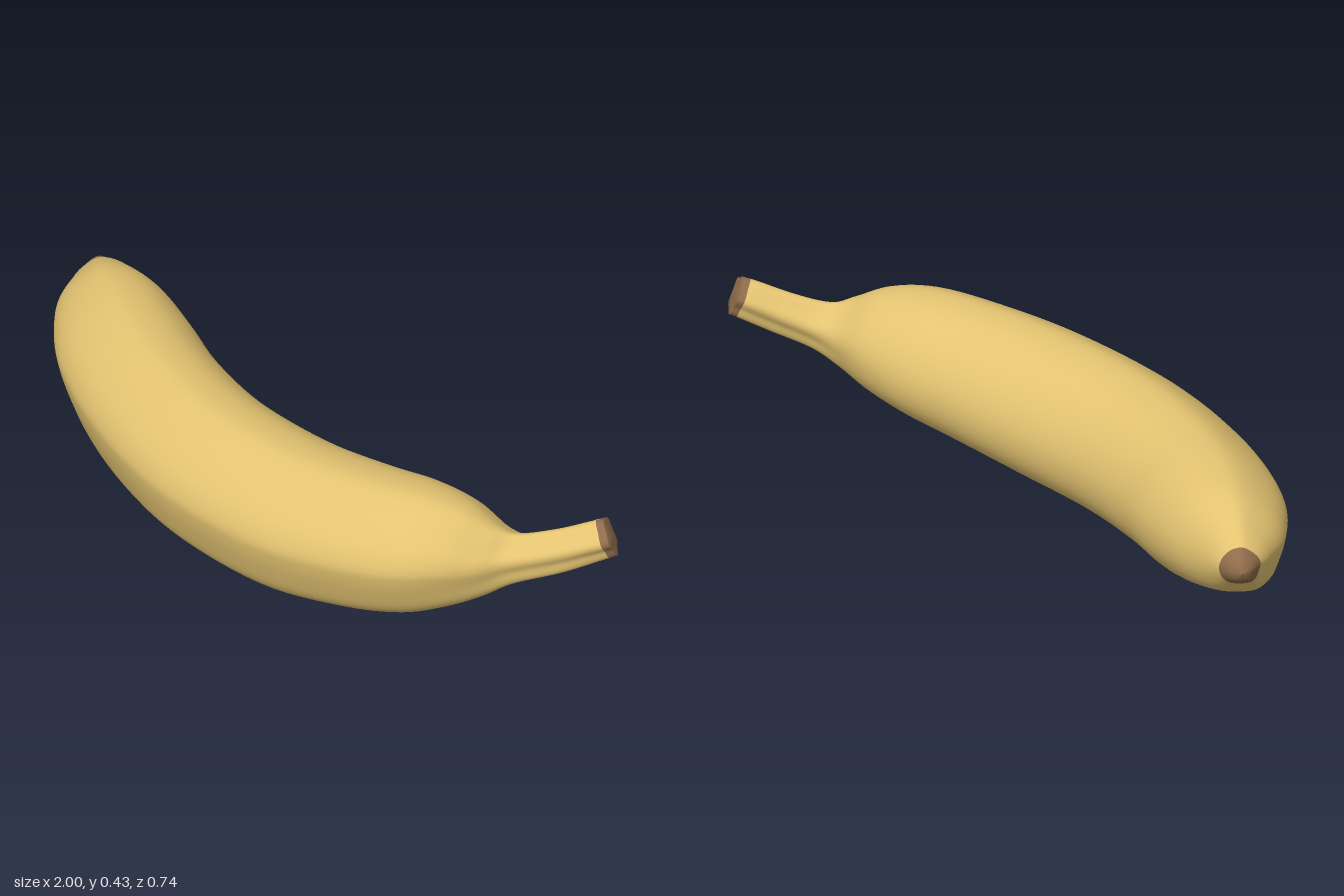
import * as THREE from 'three';

// Stations from blossom tip to stem: inner x, z, outer x, z, top y, bottom y, lean, ridges
const STATIONS = [
  [-0.997, -0.137, -0.999, -0.135, 0.256, 0.254, 0, 0],
  [-0.967, -0.152, -1.0, -0.105, 0.285, 0.226, 0, 0],
  [-0.92, -0.155, -0.983, -0.06, 0.31, 0.198, 0, 0],
  [-0.83, -0.155, -0.957, 0.0, 0.354, 0.138, 0, 0],
  [-0.7, -0.156, -0.892, 0.103, 0.396, 0.087, 0, 0],
  [-0.56, -0.13, -0.73, 0.225, 0.413, 0.04, 0, 0],
  [-0.38, -0.083, -0.47, 0.32, 0.413, 0.013, 0, 0],
  [-0.15, -0.06, -0.15, 0.368, 0.41, 0.001, 0, 0],
  [0.1, -0.085, 0.2, 0.34, 0.412, 0.008, 0, 0],
  [0.3, -0.13, 0.46, 0.255, 0.421, 0.041, 0, 0],
  [0.45, -0.175, 0.62, 0.17, 0.425, 0.076, 0, 0],
  [0.58, -0.2, 0.705, 0.085, 0.405, 0.116, 0, 0.15],
  [0.69, -0.202, 0.758, 0.0, 0.36, 0.156, 0, 0.45],
  [0.76, -0.225, 0.798, -0.08, 0.34, 0.2, 0.01, 0.85],
  [0.83, -0.285, 0.89, -0.182, 0.362, 0.245, 0.02, 1],
  [0.88, -0.345, 0.967, -0.262, 0.394, 0.288, 0.02, 1],
  [0.905, -0.37, 0.997, -0.298, 0.406, 0.305, 0.02, 1],
];

// Rounded five-sided cross-section: u points to the outer curve, v points up
const SECTION = new THREE.CatmullRomCurve3([
  [1, 0.12], [0.98, -0.1], [0.9, -0.4], [0.76, -0.75], [0.55, -0.94], [0.22, -1],
  [-0.25, -0.98], [-0.65, -0.82], [-0.92, -0.47], [-1, -0.08], [-0.93, 0.28], [-0.71, 0.65],
  [-0.38, 0.91], [0, 1], [0.24, 0.96], [0.6, 0.72], [0.88, 0.42],
].map(([u, v]) => new THREE.Vector3(u, v, 0)), true);

const SIDES = 60;
const STEPS = 6;

// Smooth interpolation of the station values
function stationAt(i, t) {
  const at = (k) => STATIONS[Math.min(Math.max(k, 0), STATIONS.length - 1)];
  const [a, b, c, d] = [at(i - 1), at(i), at(i + 1), at(i + 2)];
  return b.map((_, k) => 0.5 * (2 * b[k] + (c[k] - a[k]) * t
    + (2 * a[k] - 5 * b[k] + 4 * c[k] - d[k]) * t * t
    + (3 * b[k] - a[k] - 3 * c[k] + d[k]) * t * t * t));
}

function ring([xi, zi, xo, zo, top, bottom, lean, ridges]) {
  const dx = xo - xi, dz = zo - zi, len = Math.hypot(dx, dz);
  const points = [];
  for (let j = 0; j < SIDES; j++) {
    const p = SECTION.getPoint(j / SIDES);
    // Blend towards a five-ridged star along the stem
    const angle = Math.atan2(p.y, p.x);
    const radius = 0.94 + 0.09 * Math.cos(5 * (angle - Math.PI / 2));
    const u = THREE.MathUtils.lerp(p.x, radius * Math.cos(angle), ridges);
    const v = THREE.MathUtils.lerp(p.y, radius * Math.sin(angle), ridges);
    points.push(
      (xi + xo + u * dx) / 2 - (v * lean * dz) / len,
      (top + bottom + v * (top - bottom)) / 2,
      (zi + zo + u * dz) / 2 + (v * lean * dx) / len,
    );
  }
  return points;
}

function createPeel(materials) {
  const positions = [], index = [];
  const rows = (STATIONS.length - 1) * STEPS;
  for (let r = 0; r <= rows; r++) {
    const i = Math.min(Math.floor(r / STEPS), STATIONS.length - 2);
    positions.push(...ring(stationAt(i, r / STEPS - i)));
  }
  for (let r = 0; r < rows; r++) {
    for (let j = 0; j < SIDES; j++) {
      const a = r * SIDES + j, b = r * SIDES + ((j + 1) % SIDES);
      index.push(a, b, a + SIDES, b, b + SIDES, a + SIDES);
    }
  }
  // Slightly domed stem end
  const [xi, zi, xo, zo, top, bottom] = STATIONS[STATIONS.length - 1];
  const centre = positions.length / 3, rim = rows * SIDES;
  positions.push((xi + xo) / 2 + 0.006, (top + bottom) / 2 + 0.002, (zi + zo) / 2 - 0.006);
  for (let j = 0; j < SIDES; j++) index.push(centre, rim + j, rim + ((j + 1) % SIDES));

  const geometry = new THREE.BufferGeometry();
  geometry.setAttribute('position', new THREE.Float32BufferAttribute(positions, 3));
  geometry.setIndex(index);
  geometry.computeVertexNormals();
  // Brown blossom tip, yellow peel, brown stem end
  const tipEnd = 2 * STEPS * SIDES * 6, stemStart = (rows - 4) * SIDES * 6;
  geometry.addGroup(0, tipEnd, 1);
  geometry.addGroup(tipEnd, stemStart - tipEnd, 0);
  geometry.addGroup(stemStart, index.length - stemStart, 1);
  return new THREE.Mesh(geometry, materials);
}

export function createModel() {
  const yellow = new THREE.MeshStandardMaterial({ color: 0xe3c371 });
  yellow.name = 'peel yellow';
  const brown = new THREE.MeshStandardMaterial({ color: 0x8f6c4a });
  brown.name = 'dry brown';

  const banana = new THREE.Group();
  banana.name = 'banana';
  const peel = createPeel([yellow, brown]);
  peel.name = 'peel';
  banana.add(peel);
  return banana;
}
